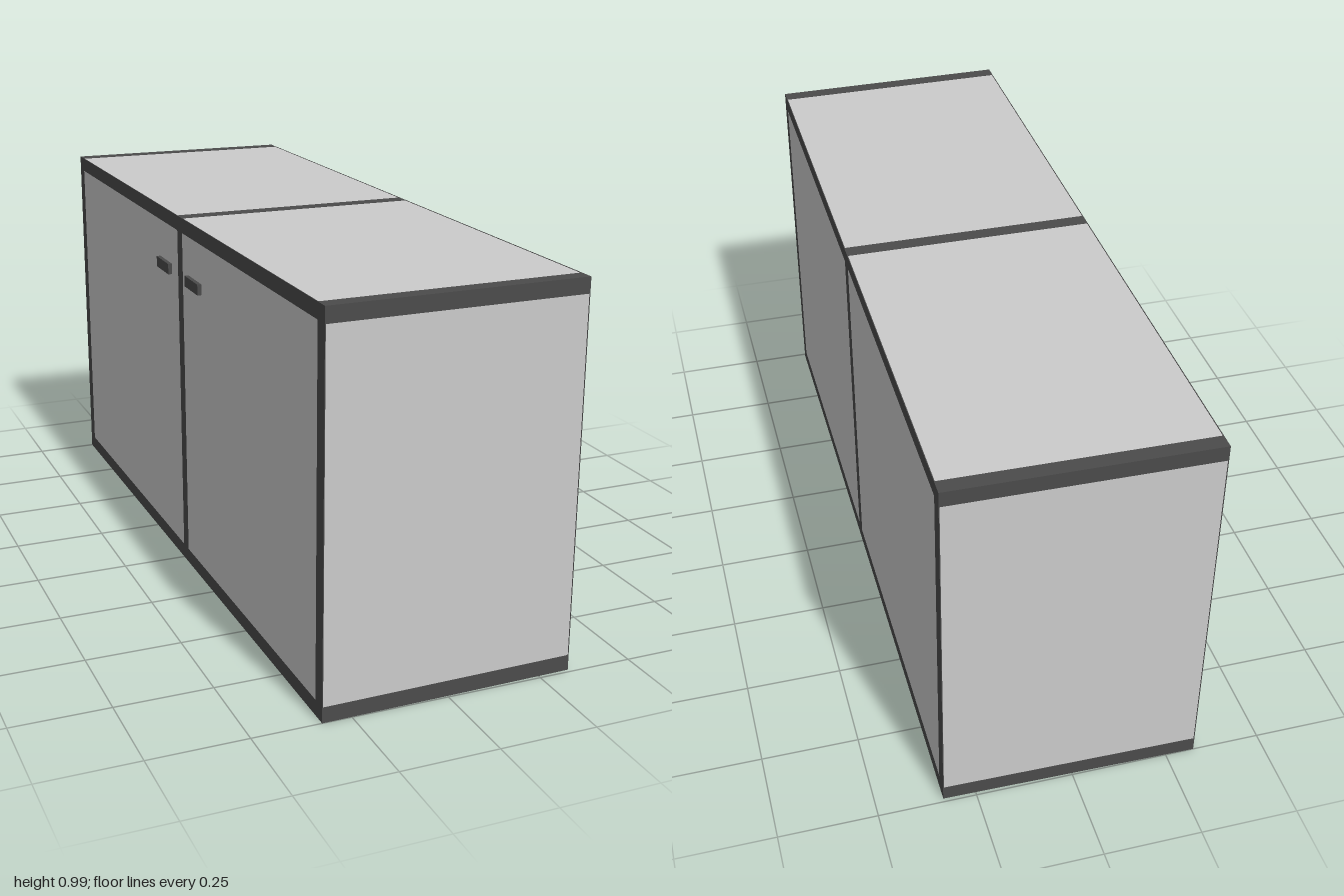
import * as THREE from 'three';

const X0 = -0.325, X1 = 0.333, H = 0.99, T = 0.04; // sides, height, board thickness
const E = 0.001; // thin proud facing
const Z0 = 1, Z1 = 0.99; // half length at the door side and at the rear side
const MID = 0.02;

export function createModel() {
  const group = new THREE.Group();
  const grey = new THREE.MeshStandardMaterial({ color: 0xcccccc });
  const dark = new THREE.MeshStandardMaterial({ color: 0x4b4b4b });

  const add = (name, geometry, material) => {
    const mesh = new THREE.Mesh(geometry, material);
    mesh.name = name;
    group.add(mesh);
    return mesh;
  };
  const box = (name, material, x0, x1, y0, y1, z0, z1) =>
    add(name, new THREE.BoxGeometry(x1 - x0, y1 - y0, z1 - z0), material)
      .position.set((x0 + x1) / 2, (y0 + y1) / 2, (z0 + z1) / 2);
  // Upright prism over a footprint of [x, z] corners
  const prism = (name, material, corners, y0, y1) => {
    const shape = new THREE.Shape(corners.map(([x, z]) => new THREE.Vector2(x, -z)));
    const geometry = new THREE.ExtrudeGeometry(shape, { depth: y1 - y0, bevelEnabled: false });
    geometry.rotateX(-Math.PI / 2).translate(0, y0, 0);
    add(name, geometry, material);
  };

  // Slightly tapered cabinet body
  prism('carcass', grey, [
    [X0 + E, Z0 - E], [X1 - E, Z1 - E], [X1 - E, -Z1 + E], [X0 + E, -Z0 + E],
  ], E, H - E);

  // Crossbars at both ends and in the middle, top and bottom
  for (const [y0, y1] of [[0, T], [H - T, H]]) {
    for (const s of [-1, 1]) {
      prism('endCrossbar', dark, [
        [X0, s * Z0], [X1, s * Z1], [X1, s * (Z1 - T)], [X0, s * (Z0 - T)],
      ], y0, y1);
    }
    box('middleCrossbar', dark, X0, X1, y0, y1, MID - T / 2, MID + T / 2);
  }

  // Rails, posts and flush panels on the two long sides
  for (const [x0, x1, L, panel] of [
    [X0, X0 + 2 * E, Z0, 'door'], [X1 - 2 * E, X1, Z1, 'rearPanel'],
  ]) {
    for (const [y0, y1] of [[0, T], [H - T, H]]) box('sideRail', dark, x0, x1, y0, y1, -L, L);
    for (const z of [-L + T / 2, MID, L - T / 2]) {
      box('sidePost', dark, x0, x1, T, H - T, z - T / 2, z + T / 2);
    }
    box(panel, grey, x0, x1, T, H - T, -L + T, MID - T / 2);
    box(panel, grey, x0, x1, T, H - T, MID + T / 2, L - T);
  }

  // Door handles beside the middle post
  for (const z of [-0.105, 0.14]) {
    box('handle', dark, X0 - 0.011, X0 + E, 0.817, 0.846, z - 0.052, z + 0.052);
  }
  return group;
}
